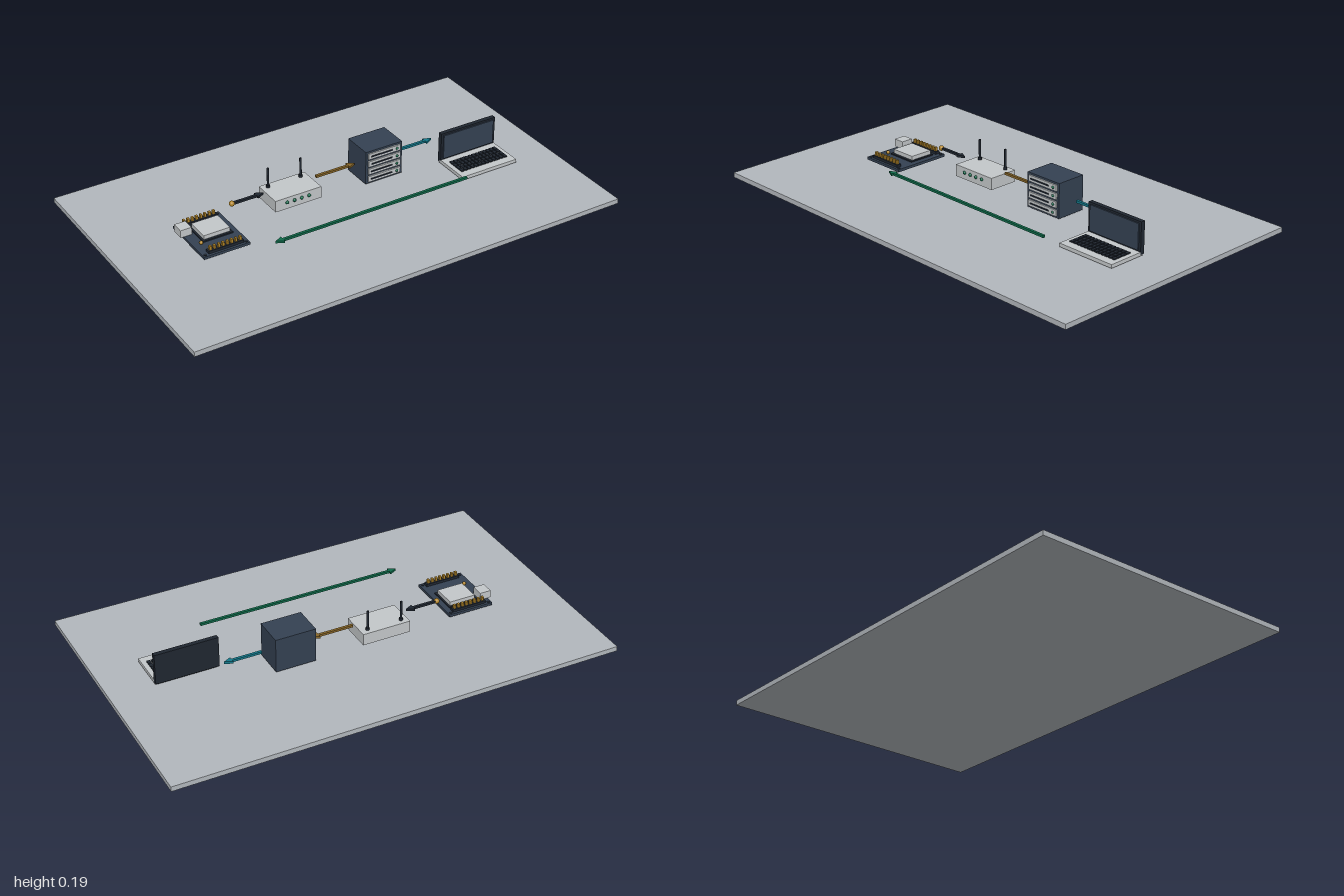
import * as THREE from 'three';

const paint = (name, color) => {
  const m = new THREE.MeshStandardMaterial({ color });
  m.name = name;
  return m;
};

export function createModel() {
  const floorGrey = paint('floor grey', 0xb2b7bc);
  const light = paint('light grey', 0xc3c7c9);
  const slate = paint('slate', 0x344152);
  const dark = paint('near black', 0x1f2630);
  const gold = paint('gold', 0xb08428);
  const bronze = paint('bronze', 0x866528);
  const teal = paint('teal', 0x14788a);
  const green = paint('green', 0x0f6a4a);

  const model = new THREE.Group();
  model.name = 'networkDiorama';
  const group = (name) => {
    const g = new THREE.Group();
    g.name = name;
    model.add(g);
    return g;
  };
  const add = (parent, name, geometry, material, x, y, z) => {
    const m = new THREE.Mesh(geometry, material);
    m.name = name;
    m.position.set(x, y, z);
    parent.add(m);
    return m;
  };
  // Box given by its low and high limits on each axis
  const box = (parent, name, material, [x0, x1], [y0, y1], [z0, z1]) =>
    add(parent, name, new THREE.BoxGeometry(x1 - x0, y1 - y0, z1 - z0), material,
      (x0 + x1) / 2, (y0 + y1) / 2, (z0 + z1) / 2);

  box(model, 'basePlate', floorGrey, [-1, 1], [0, 0.022], [-0.623, 0.623]);

  // Circuit board with shielded module, socket and two pin headers
  const board = group('circuitBoard');
  box(board, 'boardPlate', slate, [-0.692, -0.483], [0.036, 0.048], [-0.136, 0.13]);
  box(board, 'modulePlate', dark, [-0.645, -0.508], [0.048, 0.053], [-0.09, 0.035]);
  box(board, 'moduleShield', light, [-0.636, -0.516], [0.053, 0.071], [-0.082, 0.024]);
  box(board, 'socket', light, [-0.706, -0.655], [0.048, 0.082], [-0.097, -0.042]);
  for (const z of [-0.115, 0.108]) {
    box(board, 'pinHeader', dark, [-0.665, -0.505], [0.048, 0.06], [z - 0.011, z + 0.011]);
    for (let i = 0; i < 8; i++) {
      const x = -0.653 + i * 0.0194;
      box(board, 'pin', gold, [x - 0.005, x + 0.005], [0.06, 0.077], [z - 0.006, z + 0.006]);
    }
  }
  for (const x of [-0.68, -0.495])
    for (const z of [-0.123, 0.117])
      add(board, 'mountingHole', new THREE.CylinderGeometry(0.007, 0.007, 0.002, 16), dark, x, 0.049, z);
  add(board, 'statusLamp', new THREE.SphereGeometry(0.008, 16, 10), gold, -0.657, 0.055, 0.04);

  // Router with two antennas and four lamps
  const router = group('router');
  box(router, 'routerCase', light, [-0.28, -0.06], [0.038, 0.091], [-0.155, -0.018]);
  for (const x of [-0.25, -0.093]) {
    add(router, 'antennaSocket', new THREE.CylinderGeometry(0.008, 0.008, 0.012, 16), dark, x, 0.096, -0.13);
    add(router, 'antenna', new THREE.CylinderGeometry(0.005, 0.005, 0.092, 12), dark, x, 0.137, -0.13);
  }
  for (let i = 0; i < 4; i++)
    add(router, 'routerLamp', new THREE.SphereGeometry(0.0075, 14, 10), green, -0.225 + i * 0.035, 0.069, -0.017);

  // Server cabinet with four drive units
  const server = group('server');
  box(server, 'cabinet', slate, [0.157, 0.338], [0.032, 0.187], [-0.154, -0.016]);
  for (let i = 0; i < 4; i++) {
    const y = 0.055 + i * 0.0365;
    box(server, 'driveUnit', light, [0.168, 0.327], [y - 0.0135, y + 0.0135], [-0.016, -0.009]);
    box(server, 'driveSlot', dark, [0.18, 0.285], [y - 0.003, y + 0.003], [-0.009, -0.006]);
    add(server, 'driveLamp', new THREE.SphereGeometry(0.006, 12, 8), green, 0.309, y, -0.009);
  }

  // Open laptop
  const laptop = group('laptop');
  box(laptop, 'laptopBase', light, [0.524, 0.804], [0.03, 0.046], [-0.004, 0.172]);
  box(laptop, 'lid', dark, [0.524, 0.804], [0.034, 0.174], [-0.012, 0.008]);
  box(laptop, 'screen', slate, [0.535, 0.793], [0.052, 0.165], [0.008, 0.013]);
  const hinge = add(laptop, 'hinge', new THREE.CylinderGeometry(0.008, 0.008, 0.25, 16), dark, 0.664, 0.034, 0);
  hinge.rotation.z = Math.PI / 2;
  const columns = 13, pitch = 0.0187;
  for (let r = 0; r < 4; r++)
    for (let c = 0; c < columns; c++) {
      const x = 0.664 + (c - (columns - 1) / 2) * pitch, z = 0.054 + r * 0.0235;
      box(laptop, 'key', dark, [x - 0.007, x + 0.007], [0.046, 0.051], [z - 0.0105, z + 0.0105]);
    }

  // Flat arrows running along x from start to tip
  const arrow = (name, material, start, tip, y, z) => {
    const g = group(name), dir = Math.sign(tip - start), neck = tip - dir * 0.034;
    box(g, 'shaft', material, [Math.min(start, neck), Math.max(start, neck)], [y - 0.005, y + 0.005], [z - 0.006, z + 0.006]);
    const head = new THREE.Shape([
      new THREE.Vector2(0, -0.017), new THREE.Vector2(0.034, 0), new THREE.Vector2(0, 0.017)]);
    const geo = new THREE.ExtrudeGeometry(head, { depth: 0.01, bevelEnabled: false });
    geo.translate(0, 0, -0.005).rotateX(-Math.PI / 2);
    if (dir < 0) geo.rotateY(Math.PI);
    add(g, 'head', geo, material, neck, y, z);
    return g;
  };
  const first = arrow('sensorArrow', dark, -0.44, -0.298, 0.1, -0.086);
  add(first, 'signalBead', new THREE.SphereGeometry(0.012, 18, 12), gold, -0.446, 0.1, -0.086);
  arrow('serverArrow', bronze, -0.046, 0.146, 0.1, -0.086);
  arrow('laptopArrow', teal, 0.37, 0.536, 0.1, -0.086);
  arrow('returnArrow', green, 0.5, -0.425, 0.084, 0.232);

  return model;
}
